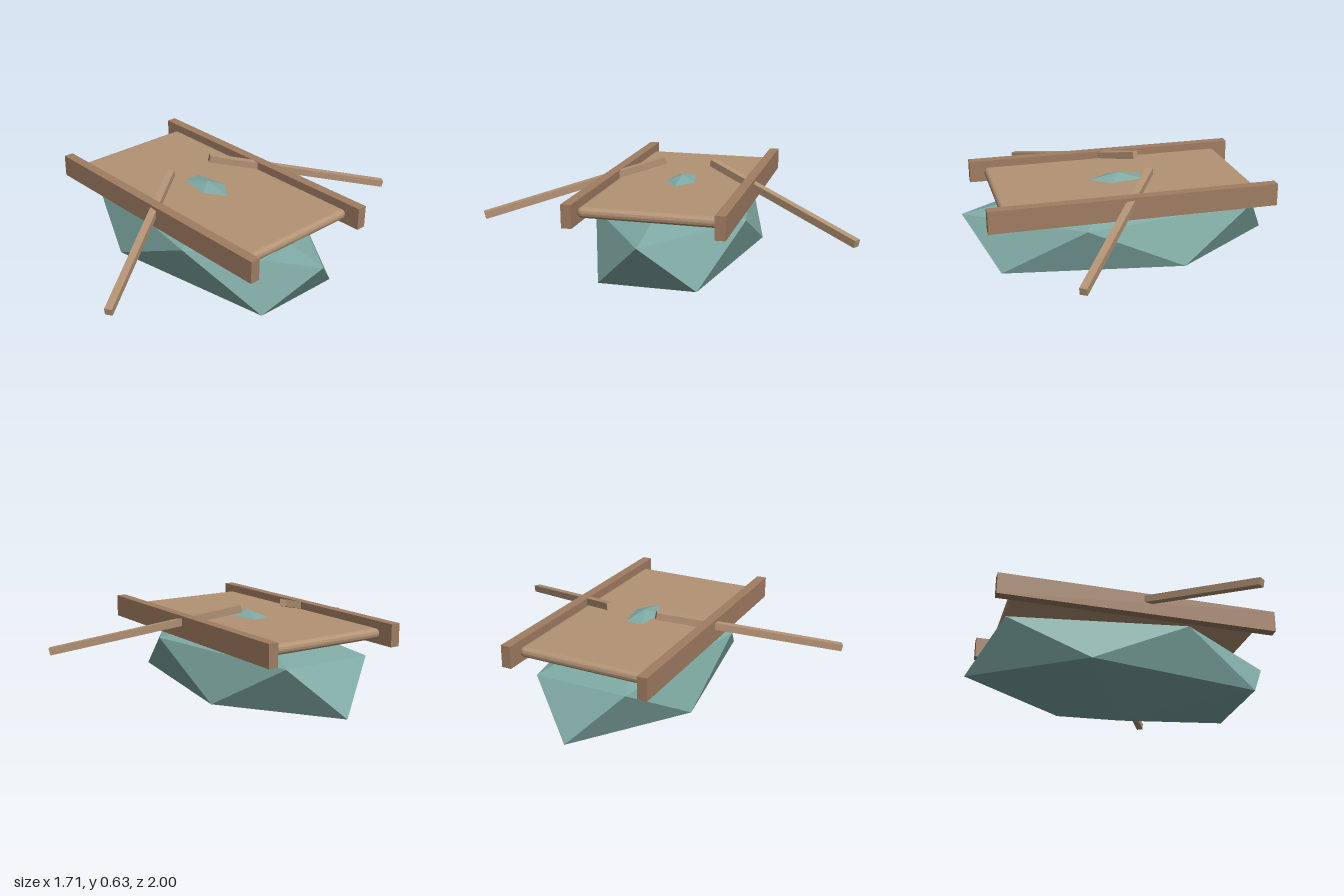
import * as THREE from 'three';
import { RoundedBoxGeometry } from 'three/addons/geometries/RoundedBoxGeometry.js';

const paint = (color) => new THREE.MeshStandardMaterial({ color, flatShading: true });

export function createModel() {
  const model = new THREE.Group();
  const hullColor = paint(0x7fa9a3);
  const deckColor = paint(0xb39375);
  const railColor = paint(0xa07d62);
  const oarColor = paint(0xb39375);

  const add = (name, geometry, material, x, y, z) => {
    const mesh = new THREE.Mesh(geometry, material);
    mesh.name = name;
    mesh.position.set(x, y, z);
    model.add(mesh);
    return mesh;
  };

  // Faceted hull: an icosahedron stood on one corner, then stretched
  const hull = new THREE.IcosahedronGeometry(1, 0);
  hull.rotateZ(-Math.atan(2 / (1 + Math.sqrt(5))));
  hull.scale(0.955, 0.282, 0.481);
  add('hull', hull, hullColor, 0, 0.282, 0);

  // Deck with softened edges, pierced by the tip of the hull
  add('deck', new RoundedBoxGeometry(1.37, 0.055, 0.72, 2, 0.025), deckColor, 0, 0.507, 0);

  // Mirrored side rails and oars
  for (const side of [1, -1]) {
    const label = side > 0 ? 'front' : 'back';
    add(label + 'Rail', new THREE.BoxGeometry(1.53, 0.12, 0.053), railColor, 0, 0.51, side * 0.382);

    const inner = new THREE.Vector3(-0.14, 0.607, side * 0.138);
    const outer = new THREE.Vector3(0.42, 0.378, side * 0.986);
    const oar = add(label + 'Oar', new THREE.BoxGeometry(0.038, 0.038, inner.distanceTo(outer)), oarColor,
      0.14, (inner.y + outer.y) / 2, (inner.z + outer.z) / 2);
    oar.lookAt(outer);
  }
  return model;
}
